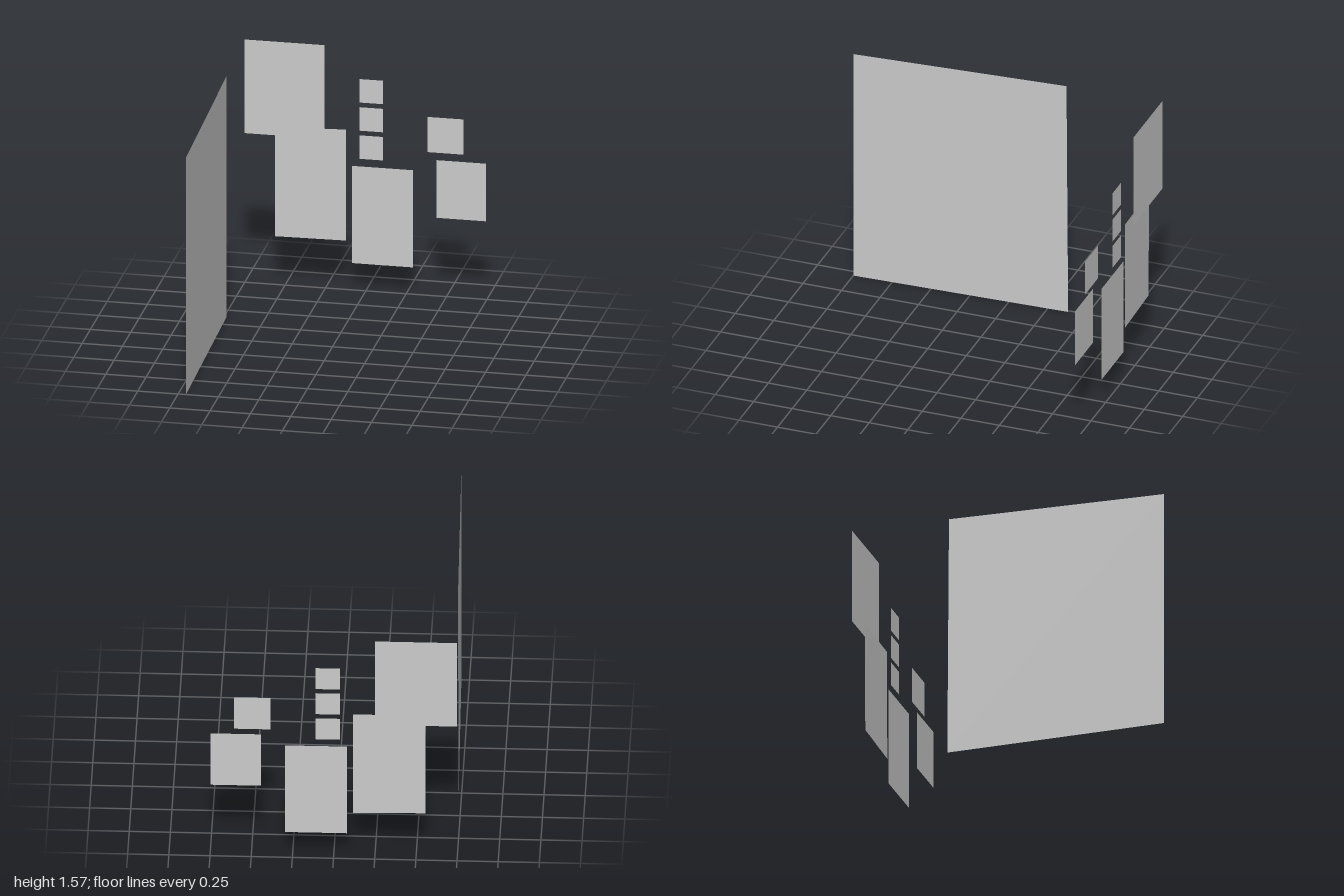
import * as THREE from 'three';

const material = new THREE.MeshStandardMaterial({ color: 0xcccccc, side: THREE.DoubleSide, flatShading: true });

// Thin four-cornered sheet; corners run bottom left, bottom right, top right, top left
function sheet(name, corners) {
  const geometry = new THREE.BufferGeometry();
  geometry.setAttribute('position', new THREE.Float32BufferAttribute(corners.flat(), 3));
  geometry.setIndex([0, 1, 2, 0, 2, 3]);
  geometry.computeVertexNormals();
  const mesh = new THREE.Mesh(geometry, material);
  mesh.name = name;
  return mesh;
}

// Upright rectangle facing the front
function wallPanel(name, x0, x1, y0, y1, z) {
  return sheet(name, [[x0, y0, z], [x1, y0, z], [x1, y1, z], [x0, y1, z]]);
}

export function createModel() {
  const model = new THREE.Group();
  model.name = 'pictureWall';

  // Large side panel, slightly skewed
  model.add(sheet('sidePanel', [
    [-0.735, 0.003, -0.382], [-0.701, 0.003, 1], [-0.701, 1.536, 1], [-0.733, 1.565, -0.372],
  ]));

  // Flat pictures on the back wall
  model.add(
    wallPanel('largePicture', -0.75, -0.253, 0.971, 1.577, -0.99),
    wallPanel('tallPicture', -0.083, 0.296, 0.18, 0.809, -0.99),
    wallPanel('smallPicture', 0.382, 0.605, 0.929, 1.157, -1),
    wallPanel('mediumPicture', 0.44, 0.747, 0.512, 0.885, -0.99),
  );

  // Tall picture hung at a slight angle
  model.add(sheet('tiltedPicture', [
    [-0.557, 0.325, -0.972], [-0.119, 0.325, -0.984], [-0.119, 1.042, -0.986], [-0.557, 1.033, -0.974],
  ]));

  // Column of three little pictures
  for (let i = 0; i < 3; i++) {
    const y = 0.858 + i * 0.182;
    model.add(wallPanel(`littlePicture${i + 1}`, -0.038, 0.109, y, y + 0.152, -0.99));
  }

  return model;
}
